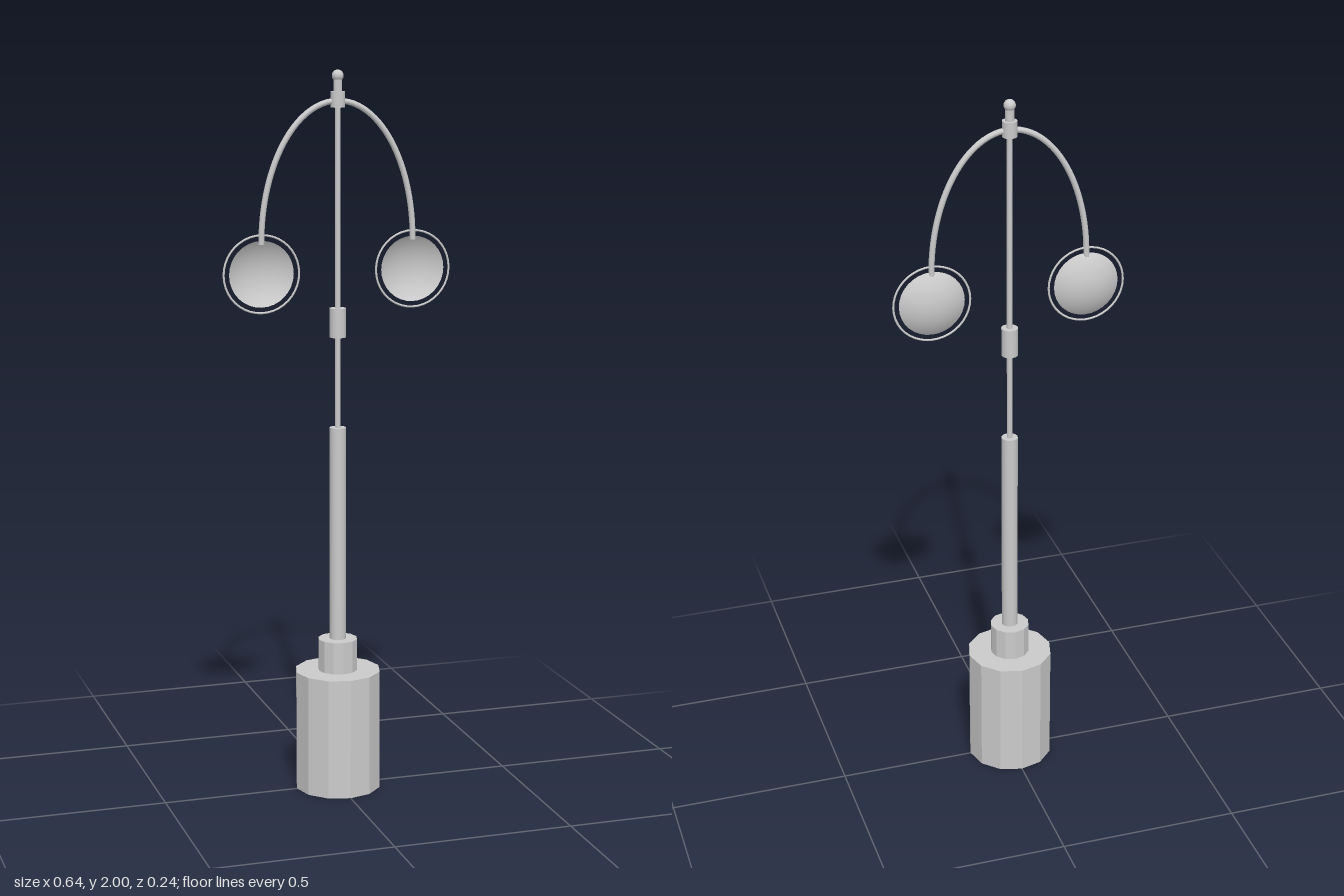
import * as THREE from 'three';

const smooth = new THREE.MeshStandardMaterial({ color: 0xcccccc });
const faceted = new THREE.MeshStandardMaterial({ color: 0xcccccc, flatShading: true });
const thin = new THREE.MeshStandardMaterial({ color: 0xcccccc, side: THREE.DoubleSide });

export function createModel() {
  const lamp = new THREE.Group();
  lamp.name = 'streetLamp';

  const add = (name, geometry, material, parent = lamp) => {
    const mesh = new THREE.Mesh(geometry, material);
    mesh.name = name;
    parent.add(mesh);
    return mesh;
  };
  // Upright cylinder between two heights
  const post = (name, radius, y0, y1, sides, material) => {
    const mesh = add(name, new THREE.CylinderGeometry(radius, radius, y1 - y0, sides), material);
    mesh.position.y = (y0 + y1) / 2;
  };

  // Pedestal and stepped pole
  post('base', 0.12, 0, 0.34, 12, faceted);
  post('baseCollar', 0.055, 0.34, 0.43, 12, faceted);
  post('lowerPole', 0.023, 0.43, 1.03, 12, smooth);
  post('upperPole', 0.008, 1.03, 1.91, 12, smooth);
  post('poleSleeve', 0.023, 1.28, 1.36, 12, smooth);

  // Finial
  post('hub', 0.02, 1.9, 1.943, 16, smooth);
  post('finialNeck', 0.012, 1.943, 1.975, 16, smooth);
  add('finialBall', new THREE.SphereGeometry(0.016, 16, 12), smooth).position.y = 1.984;

  // Curved arms, each carrying a dish inside a thin ring
  const armX = 0.214, dishY = 1.46;
  const dishRadius = 0.09, dishDepth = 0.029;
  const sphereR = (dishRadius ** 2 + dishDepth ** 2) / (2 * dishDepth);
  const capAngle = Math.asin(dishRadius / sphereR);
  for (const [side, s] of [['left', 1], ['right', -1]]) {
    const points = [];
    for (let i = 0; i <= 12; i++) {
      const a = (i / 12) * Math.PI / 2;
      points.push(new THREE.Vector3(s * armX * Math.sin(a), 1.54 + 0.378 * Math.cos(a), 0));
    }
    const curve = new THREE.CatmullRomCurve3(points);
    add(side + 'Arm', new THREE.TubeGeometry(curve, 32, 0.008, 10), smooth);
    const cap = add(side + 'ArmEnd', new THREE.CircleGeometry(0.008, 10), thin);
    cap.rotation.x = Math.PI / 2;
    cap.position.set(s * armX, 1.54, 0);

    const head = new THREE.Group();
    head.name = side + 'LampHead';
    head.position.set(s * armX, dishY, 0);
    lamp.add(head);

    // Shallow dish bulging to the back, open to the front
    const dish = new THREE.SphereGeometry(sphereR, 32, 8, 0, Math.PI * 2, 0, capAngle);
    dish.translate(0, dishDepth - sphereR, 0).rotateX(-Math.PI / 2);
    add(side + 'Dish', dish, thin, head);
    add(side + 'Ring', new THREE.TorusGeometry(0.105, 0.003, 8, 40), smooth, head);
  }

  return lamp;
}
